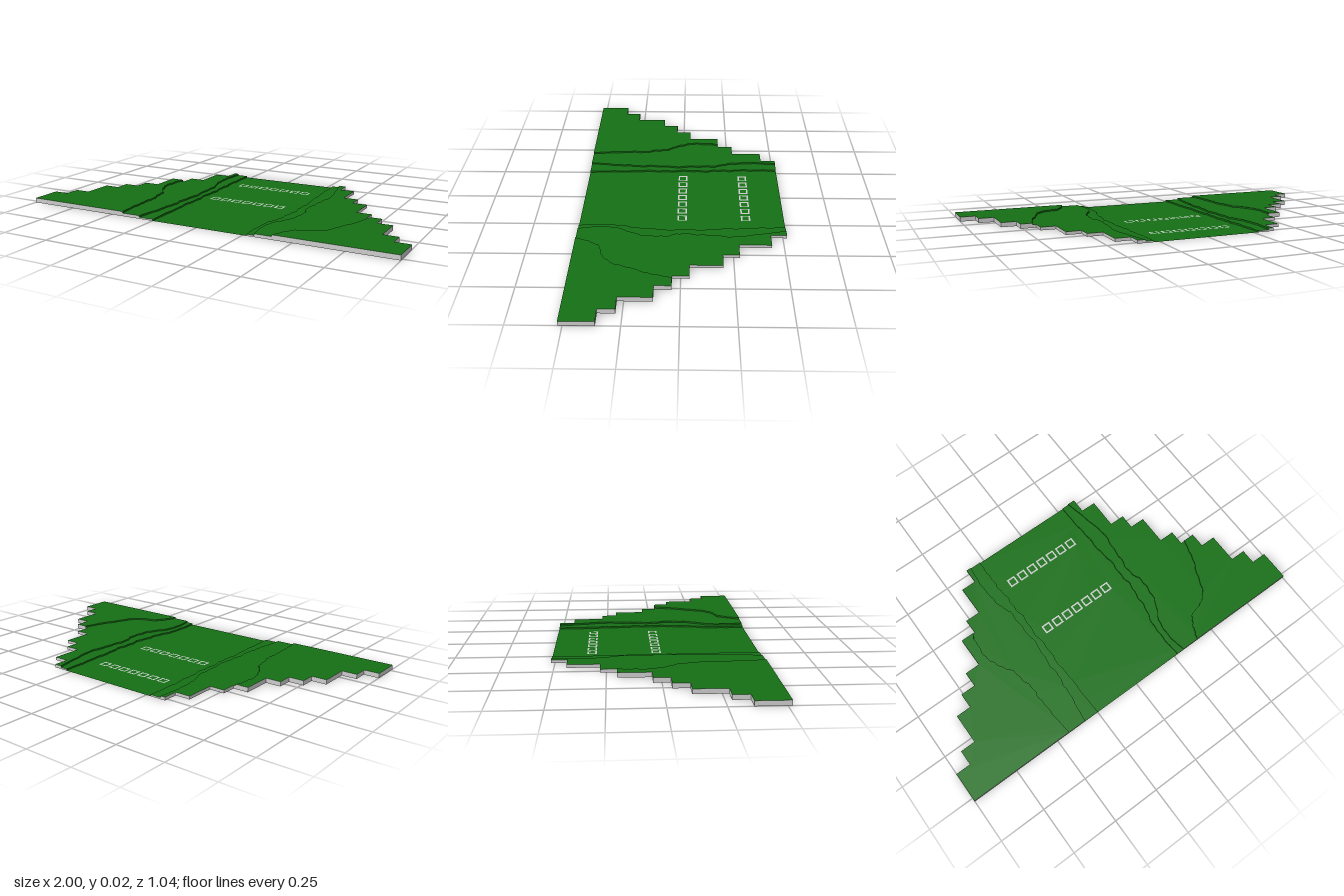
import * as THREE from 'three';

const STEP = 0.008; // height of one terrace
// Stepped outline: half width, back z, front z of each row
const ROWS = [
  [0.36, -0.52, -0.44], [0.44, -0.44, -0.28], [0.52, -0.28, -0.2],
  [0.6, -0.2, -0.04], [0.68, -0.04, 0.04], [0.76, 0.04, 0.12],
  [0.84, 0.12, 0.28], [0.92, 0.28, 0.36], [1, 0.36, 0.52],
];
// Terrace edges per side, front to back, innermost first, as [x, z]
const SIDES = {
  right: [
    [[-0.25, 0.52], [-0.26, 0.2], [-0.265, -0.13], [-0.275, -0.35], [-0.275, -0.52]],
    [[-0.33, 0.52], [-0.31, 0.35], [-0.3, 0.18], [-0.3, -0.13], [-0.34, -0.32], [-0.335, -0.52]],
    [[-0.43, 0.52], [-0.445, 0.36], [-0.45, 0.22], [-0.48, 0.09], [-0.54, -0.02], [-0.545, -0.15], [-0.53, -0.2]],
  ],
  left: [
    [[0.27, 0.52], [0.265, 0.35], [0.3, 0.15], [0.305, -0.05], [0.29, -0.3], [0.28, -0.52]],
    [[0.31, 0.52], [0.295, 0.36], [0.37, 0.16], [0.35, -0.03], [0.37, -0.26], [0.32, -0.52]],
    [[0.4, 0.52], [0.42, 0.47], [0.465, 0.4], [0.575, 0.35], [0.665, 0.16], [0.7, 0.04]],
  ],
};

const green = new THREE.MeshStandardMaterial({ color: 0x157015, side: THREE.DoubleSide });
const grey = new THREE.MeshStandardMaterial({ color: 0xcccccc, side: THREE.DoubleSide });

const vec = ([x, z]) => new THREE.Vector2(x, z);

// Smooth edge line with a slight ragged wobble that fades at both ends
function ragged(points) {
  const n = 48;
  return new THREE.SplineCurve(points.map(vec)).getPoints(n).map((p, i) => {
    const fade = Math.sin((Math.PI * i) / n);
    p.x += fade * 0.004 * (Math.sin(i * 1.9) + Math.sin(i * 0.83 + 1));
    return p;
  });
}

// Flat ground piece from [x, z] points
function flat(points, holes = []) {
  const flip = (p) => new THREE.Vector2(p.x, -p.y);
  const shape = new THREE.Shape(points.map(flip));
  shape.holes = holes.map((h) => new THREE.Path(h.map(flip)));
  return new THREE.ShapeGeometry(shape).rotateX(-Math.PI / 2);
}

// Upright strip following a line on the ground
function wall(points, y0, y1) {
  const pos = [];
  for (let i = 0; i + 1 < points.length; i++) {
    const a = points[i], b = points[i + 1];
    pos.push(a.x, y0, a.y, b.x, y0, b.y, b.x, y1, b.y, a.x, y0, a.y, b.x, y1, b.y, a.x, y1, a.y);
  }
  const g = new THREE.BufferGeometry();
  g.setAttribute('position', new THREE.Float32BufferAttribute(pos, 3));
  g.computeVertexNormals();
  return g;
}

// Stepped side line between two depths, back to front
function outline(sign, z0, z1) {
  return ROWS.filter(([, a, b]) => a >= z0 - 1e-6 && b <= z1 + 1e-6)
    .flatMap(([w, a, b]) => [vec([sign * w, a]), vec([sign * w, b])]);
}

function square(x, z, r) {
  return [[-r, -r], [r, -r], [r, r], [-r, r]].map(([a, b]) => vec([x + a, z + b]));
}

export function createModel() {
  const model = new THREE.Group();
  const add = (parent, name, geometry, material) => {
    const mesh = new THREE.Mesh(geometry, material);
    mesh.name = name;
    parent.add(mesh);
  };

  const inner = [];
  for (const [side, lines] of Object.entries(SIDES)) {
    const group = new THREE.Group();
    group.name = side + 'Terraces';
    model.add(group);
    const sign = side === 'left' ? 1 : -1;
    const [e1, e2, e3] = lines.map(ragged);
    inner.push(e1);
    const last = (e) => e[e.length - 1];
    const split = last(e3).y;

    // Terrace tops
    const backEdge = outline(sign, -0.52, split);
    const frontEdge = outline(sign, split, 0.52);
    add(group, 'lowTerrace', flat([...e1, ...[...e2].reverse()]).translate(0, STEP, 0), green);
    add(group, 'middleTerrace', flat([...e2, ...backEdge, ...[...e3].reverse()]).translate(0, 2 * STEP, 0), green);
    add(group, 'highTerrace', flat([...e3, ...frontEdge]).translate(0, 3 * STEP, 0), green);

    // Cliffs between the terraces
    [e1, e2, e3].forEach((e, i) => add(group, 'cliff', wall(e, i * STEP, (i + 1) * STEP), green));

    // Grey skirts along the outer border
    add(group, 'skirt', wall([e1[0], e2[0]], 0, STEP), grey);
    add(group, 'skirt', wall([last(e1), last(e2)], 0, STEP), grey);
    add(group, 'skirt', wall([e2[0], e3[0]], 0, 2 * STEP), grey);
    add(group, 'skirt', wall([last(e2), ...backEdge, last(e3)], 0, 2 * STEP), grey);
    add(group, 'skirt', wall([last(e3), ...frontEdge, e3[0]], 0, 3 * STEP), grey);
  }

  // Valley floor with two rows of inlaid square frames
  const holes = [];
  for (const z of [-0.325, 0]) {
    for (let i = -3; i <= 3; i++) {
      const x = i * 0.064;
      const outer = square(x, z, 0.024);
      const core = square(x, z, 0.016);
      holes.push(outer);
      add(model, 'squareFrame', flat(outer, [core]), grey);
      add(model, 'squareInfill', flat(core), green);
    }
  }
  add(model, 'valleyFloor', flat([...inner[0], ...[...inner[1]].reverse()], holes), green);
  return model;
}
